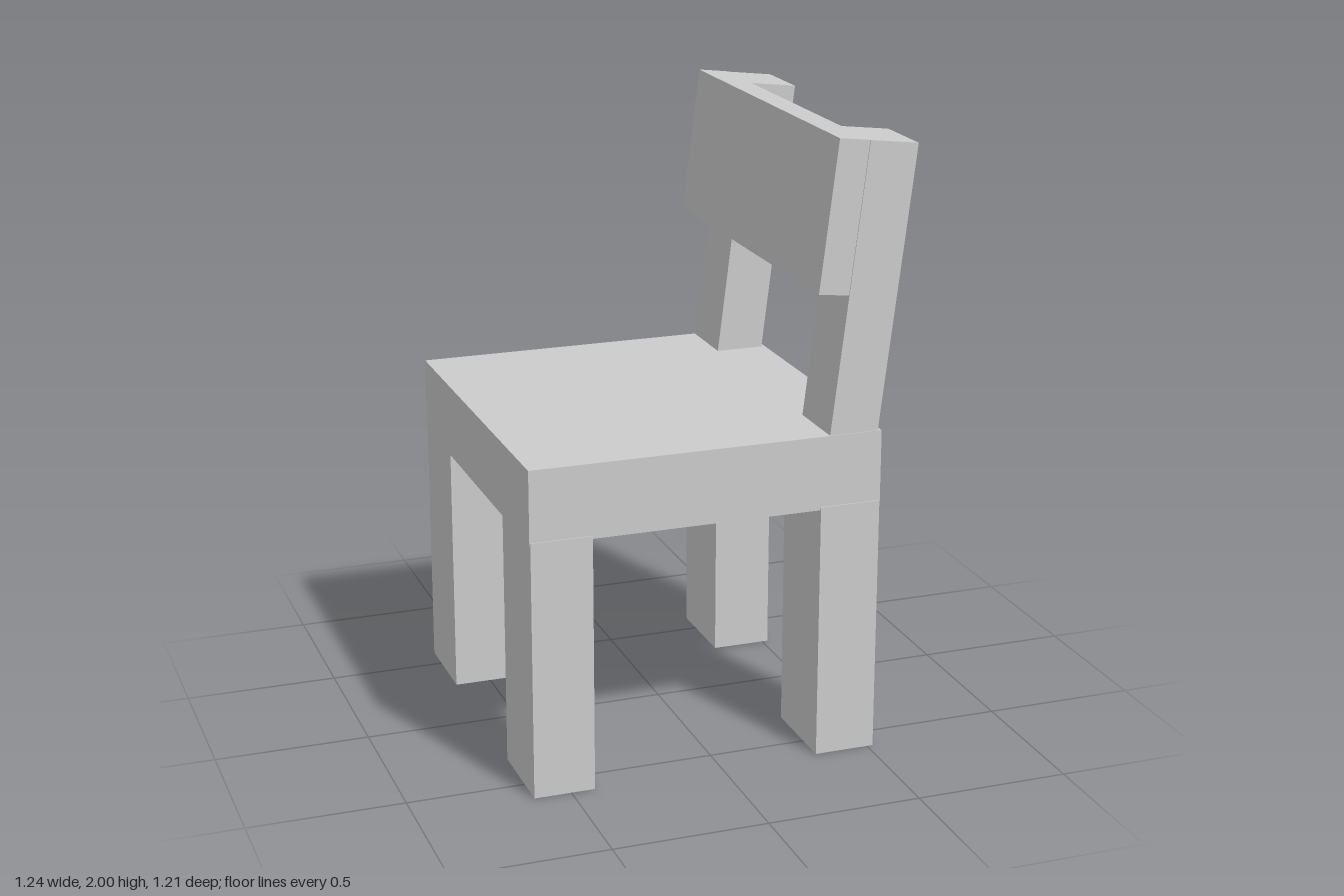
import * as THREE from 'three';

const material = new THREE.MeshStandardMaterial({ color: 0xcccccc, flatShading: true });

// Box given by its minimum and maximum on each axis
function block(name, [x0, x1], [y0, y1], [z0, z1]) {
  const geometry = new THREE.BoxGeometry(x1 - x0, y1 - y0, z1 - z0);
  geometry.translate((x0 + x1) / 2, (y0 + y1) / 2, (z0 + z1) / 2);
  const mesh = new THREE.Mesh(geometry, material);
  mesh.name = name;
  return mesh;
}

export function createModel() {
  const chair = new THREE.Group();
  chair.name = 'chair';

  // Thick seat slab
  chair.add(block('seat', [-0.622, 0.523], [0.83, 1.07], [-0.6, 0.6]));

  // Four straight legs, the +z pair standing very slightly proud of the seat
  const legX = { frontLeg: [-0.62, -0.423], backLeg: [0.322, 0.52] };
  for (const [name, x] of Object.entries(legX)) {
    chair.add(block(name, x, [0, 0.84], [0.308, 0.604]));
    chair.add(block(name, x, [0, 0.84], [-0.599, -0.305]));
  }

  // Leaning back: two posts behind a wide slat, hung from their shared top edge
  const back = new THREE.Group();
  back.name = 'backrest';
  back.position.set(0.462, 1.988, 0);
  back.rotation.z = -0.121;
  back.add(block('backSlat', [-0.1, 0], [-0.48, 0], [-0.603, 0.594]));
  back.add(block('backPost', [0, 0.159], [-1.0, 0], [0.376, 0.597]));
  back.add(block('backPost', [0, 0.159], [-1.0, 0], [-0.596, -0.374]));
  chair.add(back);

  return chair;
}
